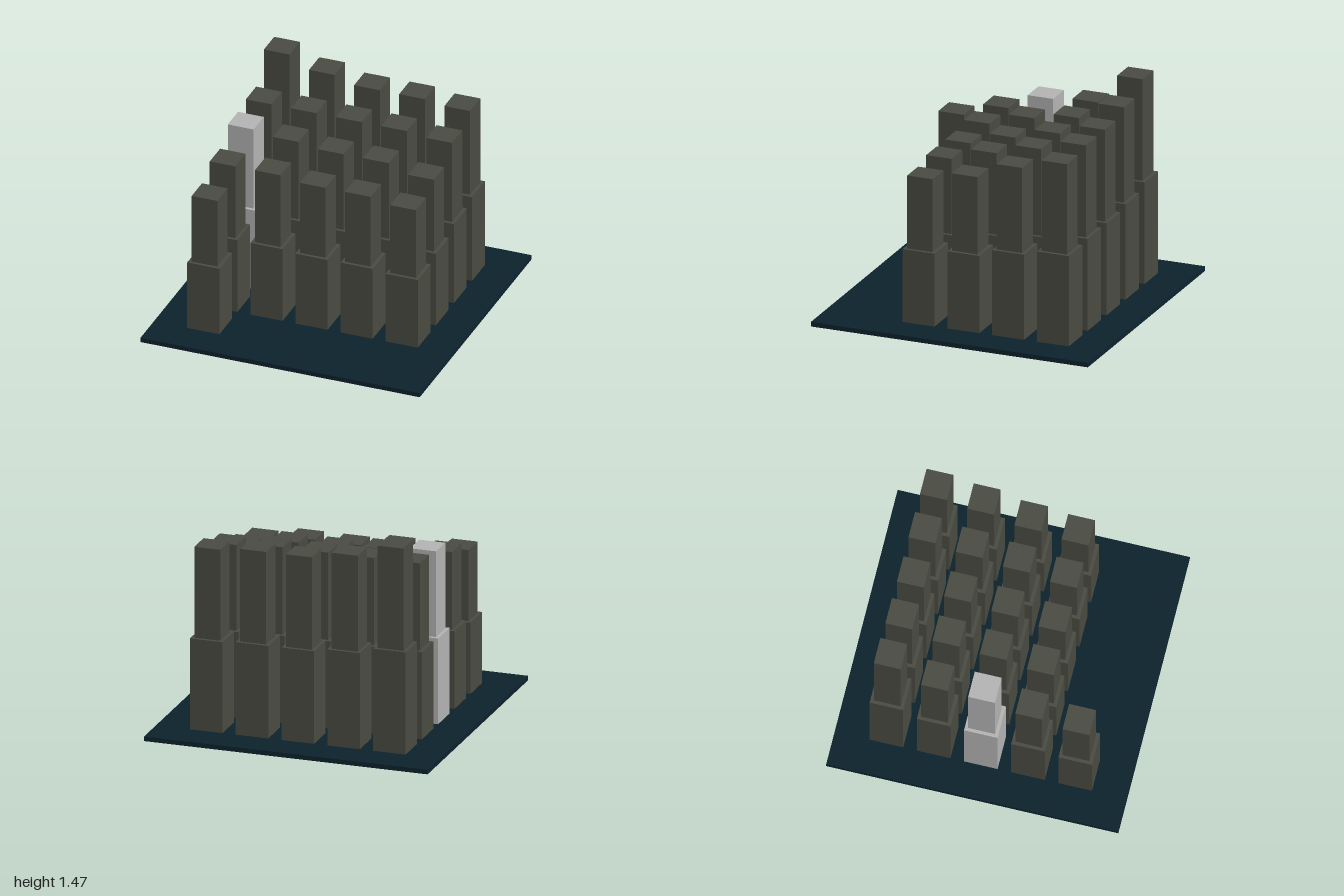
import * as THREE from 'three';

const material = (name, color) => {
  const m = new THREE.MeshStandardMaterial({ color });
  m.name = name;
  return m;
};

export function createModel() {
  const model = new THREE.Group();
  model.name = 'towerGrid';
  const navy = material('dark navy', 0x0d222d);
  const olive = material('dark olive grey', 0x4a4b41);
  const silver = material('silver grey', 0xb4b4b4);

  // Box standing on the height y
  const block = (name, mat, width, height, depth, y) => {
    const mesh = new THREE.Mesh(new THREE.BoxGeometry(width, height, depth), mat);
    mesh.name = name;
    mesh.position.y = y + height / 2;
    return mesh;
  };

  // Square ground plate
  const plateTop = 0.032;
  model.add(block('basePlate', navy, 2, plateTop, 2, 0));

  // Tower tops, row by row from the back, left to right
  const rows = [
    [1.473, 1.385, 1.336, 1.336, 1.313],
    [1.262, 1.262, 1.262, 1.262, 1.24],
    [1.24, 1.213, 1.187, 1.187, 1.128],
    [1.128, 1.128, 1.1, 1.1, 1.066],
    [1.034],
  ];
  const spacing = 0.323;

  // Each tower is two equal storeys, the upper one narrower
  rows.forEach((row, r) => row.forEach((top, c) => {
    const mat = r === 2 && c === 0 ? silver : olive;
    const storey = (top - plateTop) / 2;
    const tower = new THREE.Group();
    tower.name = `tower${r + 1}${c + 1}`;
    tower.add(block('lowerStorey', mat, 0.23, storey, 0.23, plateTop));
    tower.add(block('upperStorey', mat, 0.184, storey, 0.184, plateTop + storey));
    tower.position.set((c - 2) * spacing, 0, (r - 2) * spacing);
    model.add(tower);
  }));

  return model;
}
